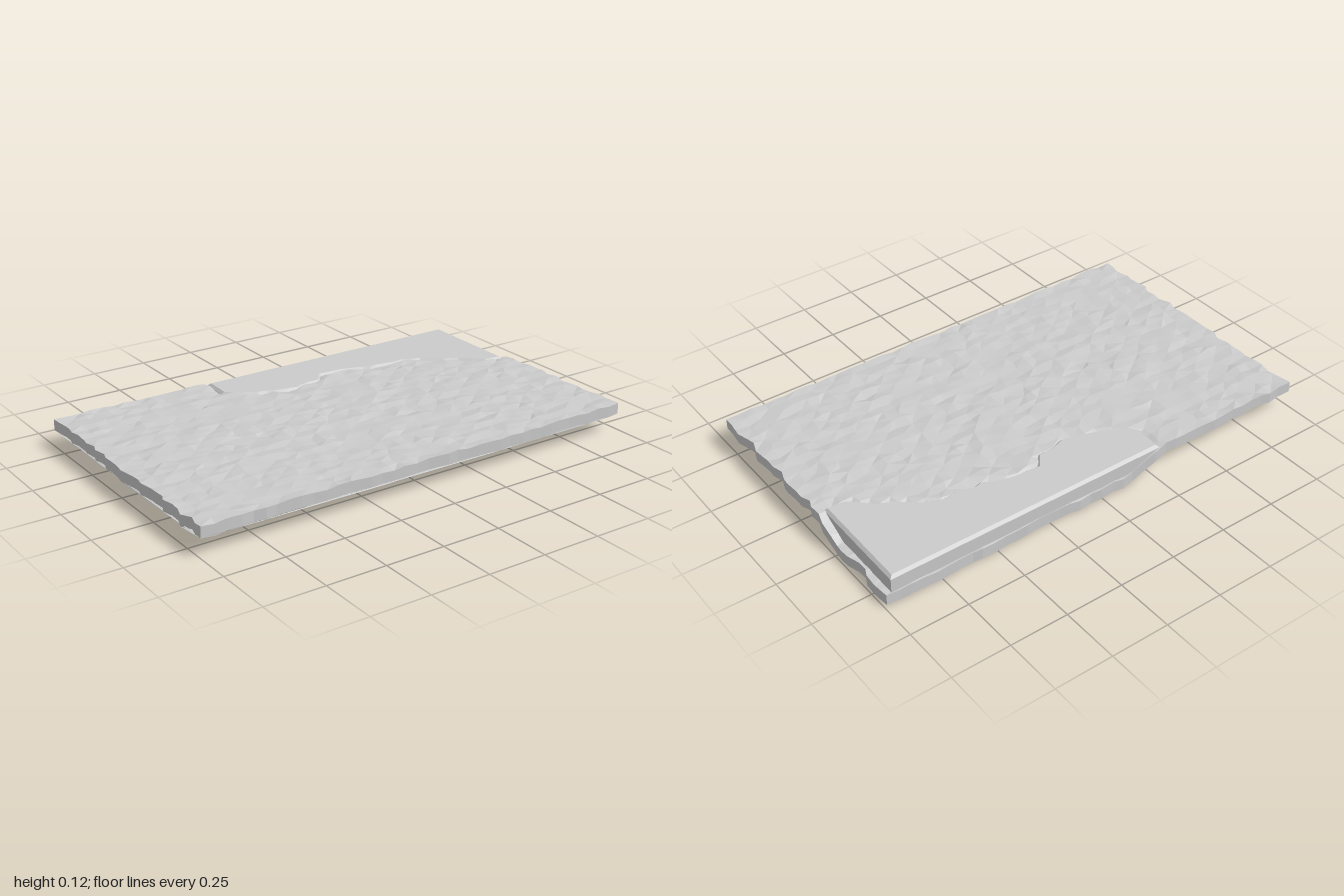
import * as THREE from 'three';

const material = () => new THREE.MeshStandardMaterial({ color: 0xcccccc, flatShading: true });

// Shoreline as [x, z], from the back edge round to the right edge
const SHORE = [[-0.29, -0.58], [-0.295, -0.45], [-0.23, -0.39], [-0.17, -0.36], [-0.1, -0.335], [0, -0.315],
  [0.07, -0.335], [0.13, -0.335], [0.17, -0.39], [0.24, -0.385], [0.32, -0.37], [0.4, -0.335], [0.47, -0.335],
  [0.57, -0.33], [0.64, -0.3], [0.72, -0.235], [0.78, -0.205], [0.87, -0.12], [0.96, -0.115]]
  .map(([x, z]) => new THREE.Vector2(x, z));

function seeded(seed) {
  return () => {
    seed = (seed * 16807) % 2147483647;
    return seed / 2147483647 - 0.5;
  };
}

// Distance from a point to the shoreline, zero on dry land
function insideDistance(x, z) {
  const line = [new THREE.Vector2(-0.29, -0.8), ...SHORE, new THREE.Vector2(1.2, -0.115)];
  let best = Infinity, inside = false;
  const p = new THREE.Vector2(x, z);
  for (let i = 0; i < line.length - 1; i++) {
    const a = line[i], d = line[i + 1].clone().sub(a);
    const t = THREE.MathUtils.clamp(p.clone().sub(a).dot(d) / d.lengthSq(), 0, 1);
    best = Math.min(best, p.distanceTo(a.clone().addScaledVector(d, t)));
    if ((a.x > x) !== (line[i + 1].x > x)) {
      if (z < a.y + ((x - a.x) / d.x) * d.y) inside = true;
    }
  }
  return inside ? best : 0;
}

// Faceted ground slab: rough top with a basin, ragged sides and a fanned underside
function makeGround() {
  const NX = 38, NZ = 28, THICK = 0.047;
  const rand = seeded(4711);
  const pos = [], index = [];
  const at = (i, j) => j * (NX + 1) + i;
  for (let j = 0; j <= NZ; j++) {
    for (let i = 0; i <= NX; i++) {
      let x = -0.99 + (1.975 * i) / NX + rand() * 0.02;
      let z = -0.586 + (1.172 * j) / NZ + rand() * (j % NZ ? 0.018 : 0.008);
      if (i === NX && j === NZ - 3) x = 1;
      const depth = 0.068 * Math.min(1, insideDistance(x, z) / 0.13);
      pos.push(x, 0.123 - depth + rand() * 0.009, z);
    }
  }
  for (let j = 0; j < NZ; j++) {
    for (let i = 0; i < NX; i++) {
      const a = at(i, j), b = at(i + 1, j), c = at(i, j + 1), d = at(i + 1, j + 1);
      if ((i + j) % 2) index.push(a, c, b, b, c, d);
      else index.push(a, c, d, a, d, b);
    }
  }
  // Perimeter, starting at the front left corner seen from above
  const rim = [];
  for (let i = 0; i < NX; i++) rim.push(at(i, NZ));
  for (let j = NZ; j > 0; j--) rim.push(at(NX, j));
  for (let i = NX; i > 0; i--) rim.push(at(i, 0));
  for (let j = 0; j < NZ; j++) rim.push(at(0, j));
  const base = pos.length / 3, n = rim.length;
  rim.forEach((v) => pos.push(pos[v * 3], Math.max(0, pos[v * 3 + 1] - THICK), pos[v * 3 + 2]));
  for (let k = 0; k < n; k++) {
    const m = (k + 1) % n;
    index.push(rim[k], base + k, base + m, rim[k], base + m, rim[m]);
    if (k > 0 && k < n - 1) index.push(base, base + k + 1, base + k);
  }
  const geo = new THREE.BufferGeometry();
  geo.setAttribute('position', new THREE.Float32BufferAttribute(pos, 3));
  geo.setIndex(index);
  geo.computeVertexNormals();
  const mesh = new THREE.Mesh(geo, material());
  mesh.name = 'ground';
  return mesh;
}

// Water block filling the basin, with a chamfered upper edge
function makeWater() {
  const rand = seeded(99);
  const points = [];
  SHORE.forEach((p, i) => {
    points.push(new THREE.Vector2(p.x, -p.y));
    const q = SHORE[i + 1];
    if (q && i > 0 && i < 14) {
      points.push(new THREE.Vector2((p.x + q.x) / 2 + rand() * 0.012, -(p.y + q.y) / 2 + rand() * 0.016));
    }
  });
  points.push(new THREE.Vector2(0.965, 0.58));
  const geo = new THREE.ExtrudeGeometry(new THREE.Shape(points), {
    depth: 0.06, bevelEnabled: true, bevelThickness: 0.011, bevelSize: 0.012, bevelOffset: -0.012, bevelSegments: 1,
  });
  geo.rotateX(-Math.PI / 2);
  geo.translate(0, 0.055, 0);
  const mesh = new THREE.Mesh(geo, material());
  mesh.name = 'water';
  return mesh;
}

export function createModel() {
  const group = new THREE.Group();
  group.name = 'terrainTile';
  group.add(makeGround(), makeWater());
  return group;
}
